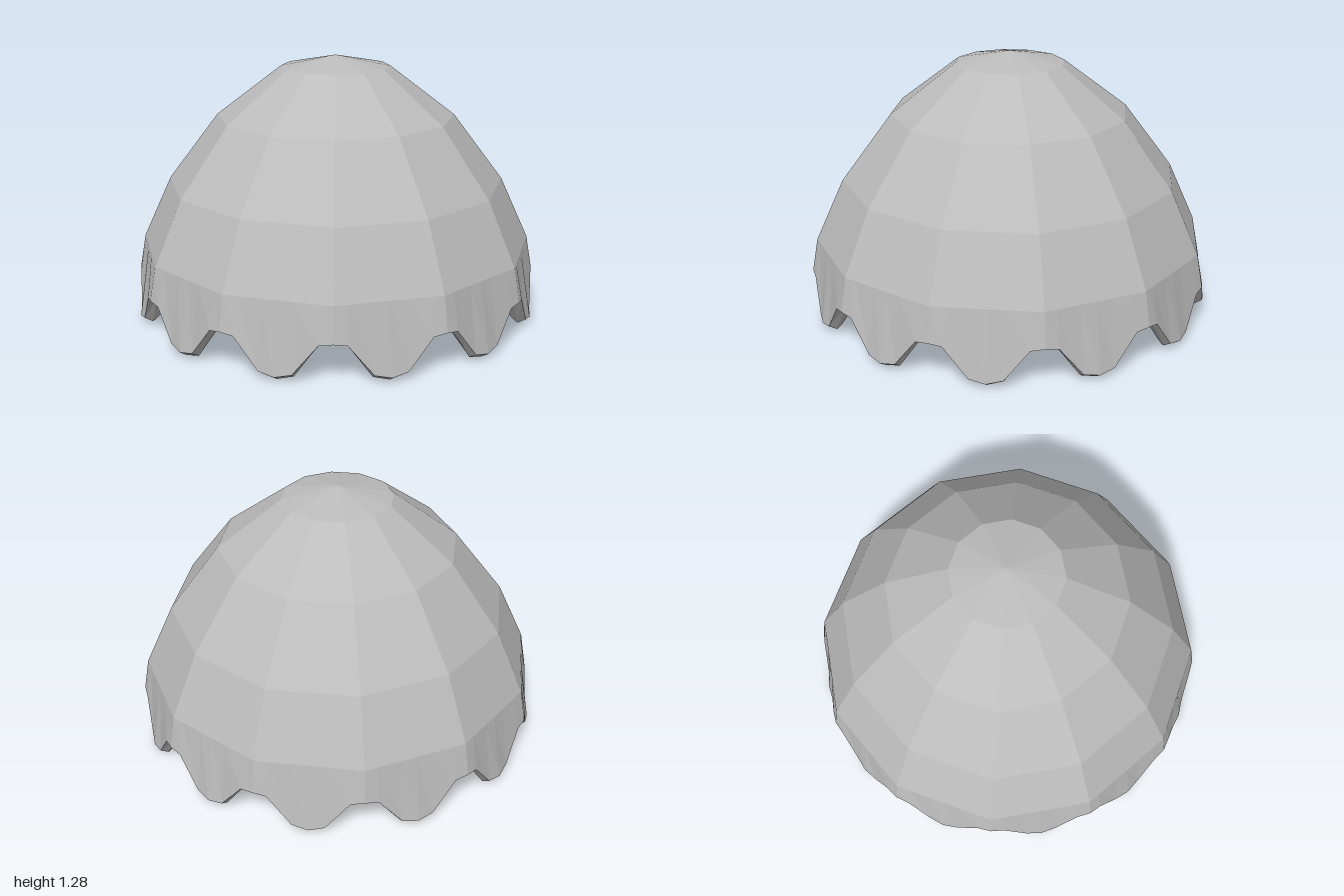
import * as THREE from 'three';

const SECTORS = 12;
const SECTOR = (Math.PI * 2) / SECTORS;

// One scallop: angle within the sector (degrees), rim height, rim radius
const SCALLOP = [
  [0, 0.195, 1], [3.7, 0.185, 0.99], [10.5, 0.04, 0.987],
  [15, 0.025, 0.995], [19.5, 0.04, 0.987], [26.3, 0.185, 0.99],
];

// Builds a closed ring of points, calling rule(scallop entry) for [radius, height]
function ring(rule) {
  const points = [];
  for (let s = 0; s < SECTORS; s++) {
    for (const entry of SCALLOP) {
      const [r, y] = rule(entry);
      const a = s * SECTOR + THREE.MathUtils.degToRad(entry[0]);
      points.push(new THREE.Vector3(r * Math.sin(a), y, r * Math.cos(a)));
    }
  }
  return points;
}

// Twelve-sided ring with flat sides
function polygonRing(radius, y) {
  return ring(([deg]) => {
    const off = THREE.MathUtils.degToRad(deg - 15);
    return [radius * Math.cos(SECTOR / 2) / Math.cos(off), y];
  });
}

// Scalloped ring set in from the rim by a distance and dropped by drop(lobe)
function rimRing(inset, drop) {
  return ring(([, y, r]) => {
    const lobe = (0.195 - y) / 0.17;
    return [r - inset, y - drop(lobe)];
  });
}

// Joins successive rings with flat-shaded faces
function skin(rings) {
  const pos = [];
  const tri = (a, b, c) => {
    const area = b.clone().sub(a).cross(c.clone().sub(a)).length();
    if (area > 1e-9) for (const p of [a, b, c]) pos.push(p.x, p.y, p.z);
  };
  for (let k = 0; k < rings.length - 1; k++) {
    const up = rings[k], low = rings[k + 1], n = up.length;
    for (let i = 0; i < n; i++) {
      const j = (i + 1) % n;
      tri(up[i], low[i], low[j]);
      tri(up[i], low[j], up[j]);
    }
  }
  const g = new THREE.BufferGeometry();
  g.setAttribute('position', new THREE.Float32BufferAttribute(pos, 3));
  g.computeVertexNormals();
  return g;
}

export function createModel() {
  const group = new THREE.Group();
  group.name = 'scallopedDome';
  const grey = new THREE.MeshStandardMaterial({ color: 0xbcbcbc });
  grey.name = 'grey';

  const add = (name, rings) => {
    const mesh = new THREE.Mesh(skin(rings), grey);
    mesh.name = name;
    group.add(mesh);
  };

  const outerRim = rimRing(0, () => 0);
  const lowerRim = rimRing(0.04, (lobe) => 0.012 + 0.013 * lobe);
  const innerRim = rimRing(0.07, (lobe) => 0.005 - 0.005 * lobe);

  // Faceted outer shell
  const profile = [[0, 1.285], [0.27, 1.23], [0.585, 0.99], [0.83, 0.665], [0.97, 0.36]];
  add('outerShell', [...profile.map(([r, y]) => polygonRing(r, y)), outerRim]);

  // Bevelled wavy edge
  add('scallopedRim', [outerRim, lowerRim, innerRim]);

  // Pleated underside running up to a point
  add('pleatedUnderside', [innerRim, polygonRing(0, 1.18)]);

  return group;
}
